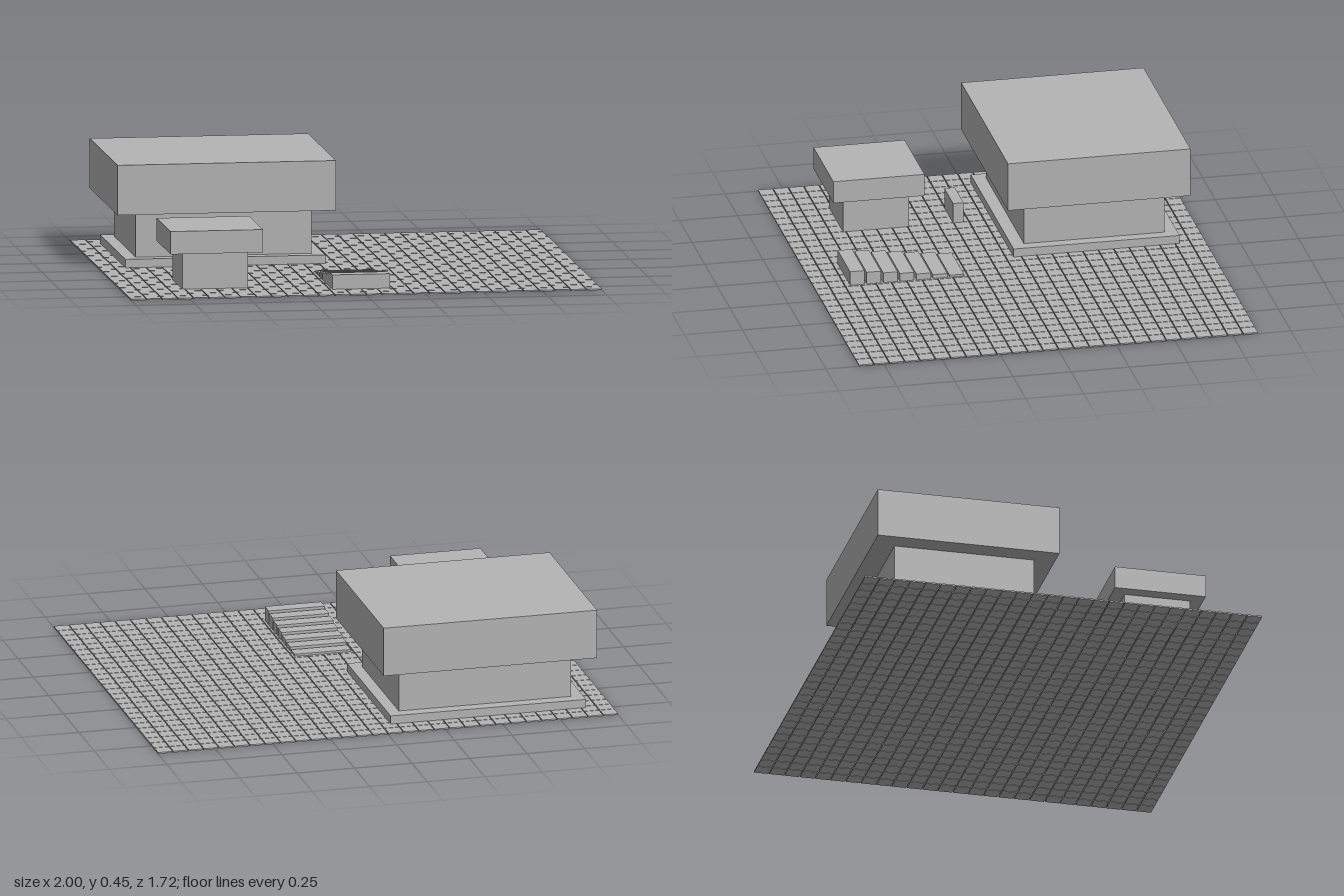
import * as THREE from 'three';
import { mergeGeometries } from 'three/addons/utils/BufferGeometryUtils.js';

// Box given by its lower and upper limits on each axis
function boxGeometry(x0, x1, y0, y1, z0, z1) {
  return new THREE.BoxGeometry(x1 - x0, y1 - y0, z1 - z0)
    .translate((x0 + x1) / 2, (y0 + y1) / 2, (z0 + z1) / 2);
}

export function createModel() {
  const model = new THREE.Group();
  model.name = 'courtyard';
  const grey = new THREE.MeshStandardMaterial({ color: 0xb4b4b4 });
  grey.name = 'stone grey';

  const add = (parent, name, geometry) => {
    const mesh = new THREE.Mesh(geometry, grey);
    mesh.name = name;
    parent.add(mesh);
  };
  const addGroup = (name) => {
    const group = new THREE.Group();
    group.name = name;
    model.add(group);
    return group;
  };

  // Paving: thin square slabs with narrow joints
  const columns = 30, rows = 26, joint = 0.004, floor = 0.006;
  const halfX = 1, halfZ = 0.858;
  const width = (2 * halfX + joint) / columns;
  const depth = (2 * halfZ + joint) / rows;
  const slabs = [];
  for (let i = 0; i < columns; i++) {
    for (let j = 0; j < rows; j++) {
      const x = -halfX + i * width, z = -halfZ + j * depth;
      slabs.push(boxGeometry(x, x + width - joint, 0, floor, z, z + depth - joint));
    }
  }
  add(model, 'pavingSlabs', mergeGeometries(slabs));

  // Main hall: plinth, walls and heavy overhanging roof
  const hall = addGroup('mainHall');
  add(hall, 'hallPlinth', boxGeometry(-0.89, -0.04, floor, 0.042, -0.747, -0.033));
  add(hall, 'hallWalls', boxGeometry(-0.838, -0.09, 0.042, 0.235, -0.692, -0.088));
  add(hall, 'hallRoof', boxGeometry(-0.928, 0, 0.235, 0.447, -0.785, 0));

  // Small pavilion
  const pavilion = addGroup('pavilion');
  add(pavilion, 'pavilionWalls', boxGeometry(-0.745, -0.465, floor, 0.163, 0.325, 0.608));
  add(pavilion, 'pavilionRoof', boxGeometry(-0.803, -0.41, 0.163, 0.26, 0.27, 0.662));

  // Low wall between the two buildings
  add(model, 'lowWall', boxGeometry(-0.64, -0.465, floor, 0.094, 0.09, 0.135));

  // Steps rising towards the front
  const steps = addGroup('steps');
  for (let i = 0; i < 7; i++) {
    const z = 0.216 + i * 0.0713;
    add(steps, `step${i + 1}`, boxGeometry(-0.122, 0.123, 0.003, 0.015 + i * 0.0087, z, z + 0.062));
  }

  return model;
}
